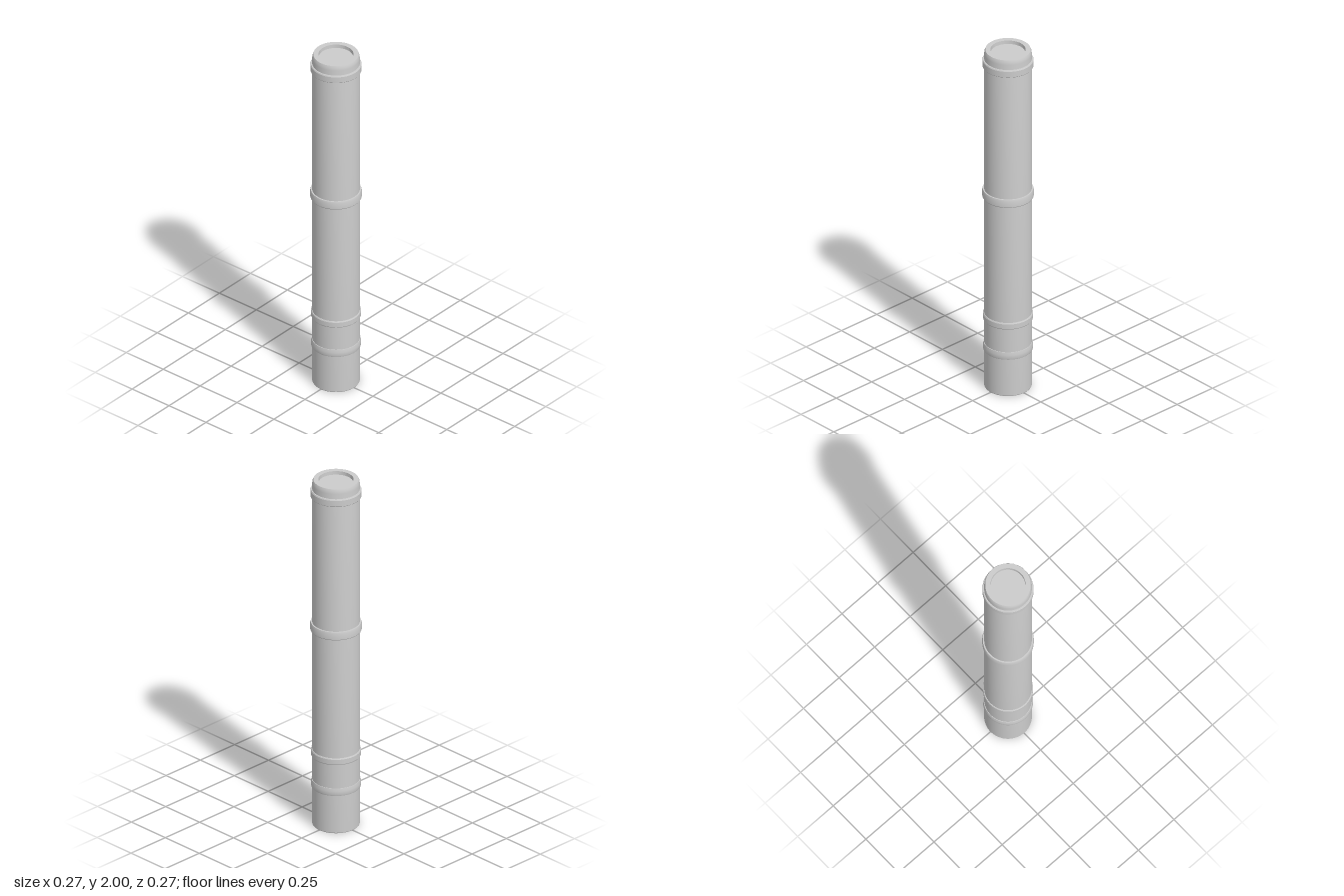
import * as THREE from 'three';
import { toCreasedNormals } from 'three/addons/utils/BufferGeometryUtils.js';

const SEGMENTS = 64;
const BODY_RADIUS = 0.124;

export function createModel() {
  const group = new THREE.Group();
  group.name = 'bandedTube';
  const material = new THREE.MeshStandardMaterial({ color: 0xcccccc });

  // Revolve a profile of [radius, y] pairs, listed from bottom to top on the outside
  function addLathe(name, profile) {
    const points = profile.map(([r, y]) => new THREE.Vector2(r, y));
    const geometry = toCreasedNormals(new THREE.LatheGeometry(points, SEGMENTS), 0.4);
    const mesh = new THREE.Mesh(geometry, material);
    mesh.name = name;
    group.add(mesh);
  }

  // Main tube with closed base, softened rim and shallow recess in the top
  addLathe('tube', [
    [0, 0], [BODY_RADIUS - 0.002, 0], [BODY_RADIUS, 0.004],
    [BODY_RADIUS, 1.975], [0.122, 1.99], [0.118, 2],
    [0.091, 2], [0.09, 1.98], [0, 1.98],
  ]);

  // Raised bands: bottom, top, radius, lower and upper bevel heights
  const bands = [
    ['lowerBand', 0.22, 0.262, 0.13, 0.006, 0.016],
    ['secondBand', 0.4, 0.437, 0.13, 0.004, 0.006],
    ['middleBand', 1.128, 1.174, 0.134, 0.004, 0.01],
    ['upperBand', 1.904, 1.946, 0.133, 0.003, 0.006],
  ];
  for (const [name, bottom, top, radius, lowBevel, highBevel] of bands) {
    addLathe(name, [
      [BODY_RADIUS - 0.002, bottom], [radius - 0.002, bottom], [radius, bottom + lowBevel],
      [radius, top - highBevel], [radius - 0.003, top], [BODY_RADIUS - 0.002, top],
    ]);
  }
  return group;
}
